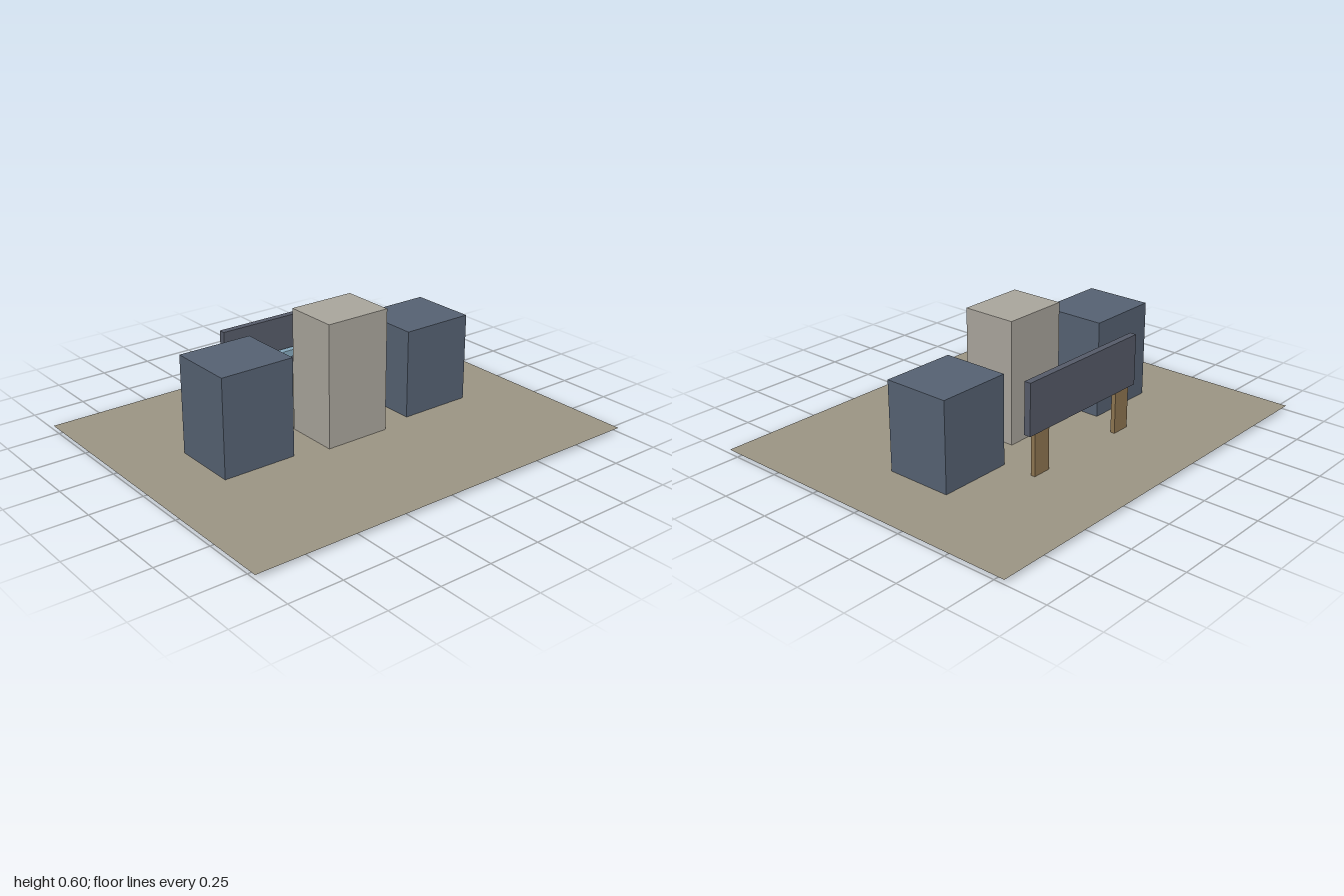
import * as THREE from 'three';

export function createModel() {
  const group = new THREE.Group();
  const GROUND = 0.02;

  const material = (color, extra = {}) => new THREE.MeshStandardMaterial({ color, ...extra });
  const slate = material(0x566273);
  const stone = material(0xaaa69d);
  const wood = material(0x8f7651);
  const panel = material(0x565b69);
  const glass = material(0x86a9bd);

  // Box given by its x, y and z ranges
  function box(name, mat, [x0, x1], [y0, y1], [z0, z1]) {
    const mesh = new THREE.Mesh(new THREE.BoxGeometry(x1 - x0, y1 - y0, z1 - z0), mat);
    mesh.position.set((x0 + x1) / 2, (y0 + y1) / 2, (z0 + z1) / 2);
    mesh.name = name;
    group.add(mesh);
  }

  // Flat ground sheet
  const ground = new THREE.Mesh(
    new THREE.PlaneGeometry(2, 1.6),
    material(0x9c9584, { side: THREE.DoubleSide })
  );
  ground.rotation.x = -Math.PI / 2;
  ground.position.y = GROUND;
  ground.name = 'ground';
  group.add(ground);

  // Three blocks: a tall centre one and two of unequal height beside it
  box('centreBlock', stone, [-0.16, 0.16], [GROUND, 0.6], [-0.1, 0.16]);
  box('rightBlock', slate, [-0.678, -0.322], [GROUND, 0.48], [-0.2, 0.12]);
  box('leftBlock', slate, [0.322, 0.678], [GROUND, 0.44], [-0.2, 0.12]);

  // Sign board on two posts that pass through the ground
  box('board', panel, [-0.36, 0.36], [0.22, 0.46], [-0.376, -0.344]);
  for (const side of [-1, 1]) {
    const x = side * 0.276;
    box(side < 0 ? 'rightPost' : 'leftPost', wood, [x - 0.046, x + 0.046], [0, 0.22], [-0.37, -0.348]);
  }

  // Small bar in front of the board
  box('bar', glass, [-0.122, 0.122], [0.273, 0.305], [-0.336, -0.304]);

  return group;
}
